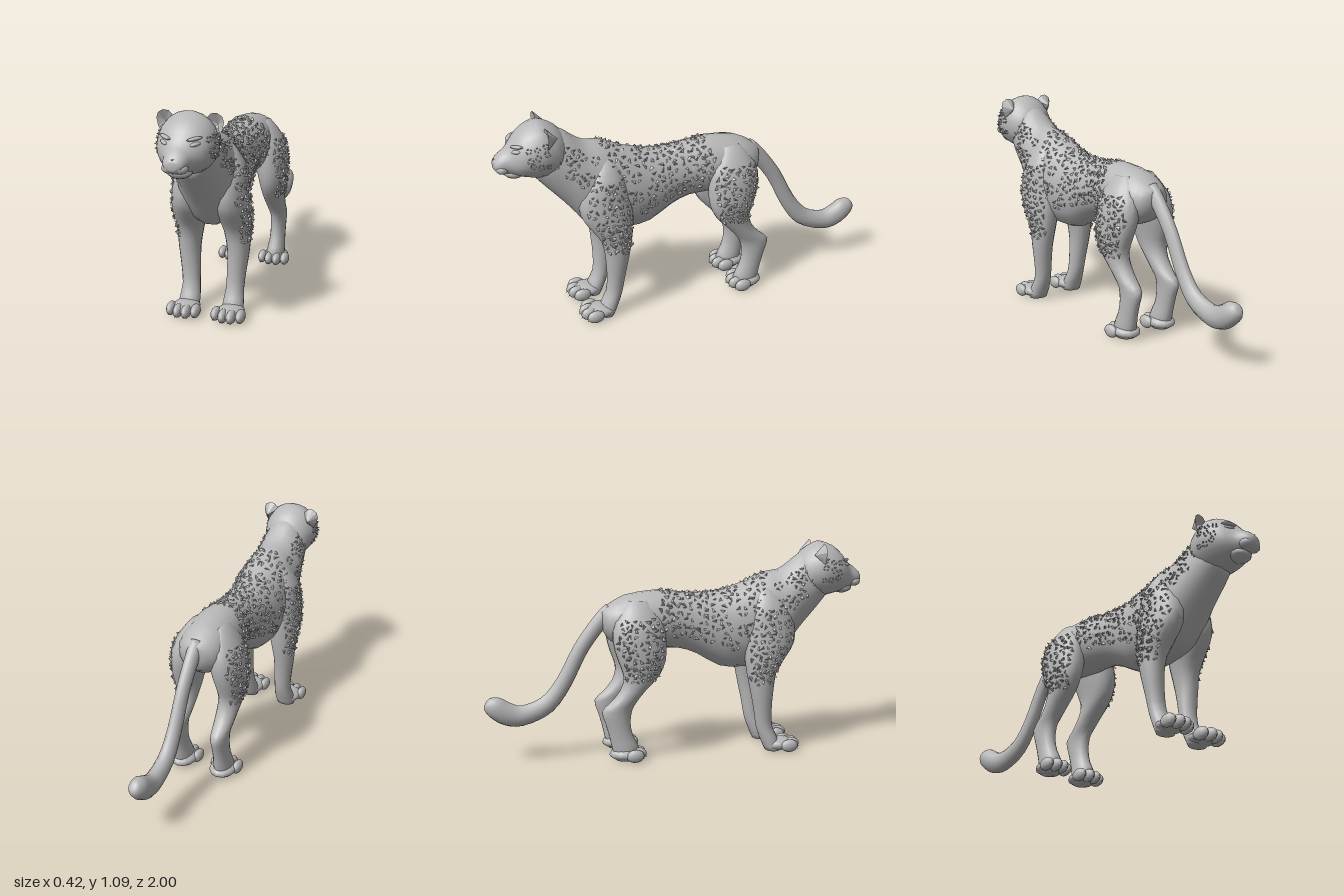
import * as THREE from 'three';

const fur = new THREE.MeshStandardMaterial({ color: 0xb8b8b8 });
fur.name = 'greyFur';

// Ring rules: each turns one cross-section row and an angle into a point
const alongZ = ([z, top, bottom, half], a) =>
  new THREE.Vector3(Math.cos(a) * half, (top + bottom) / 2 + Math.sin(a) * (top - bottom) / 2, z);
const alongY = ([y, front, back, inner, outer], a) =>
  new THREE.Vector3((inner + outer) / 2 + Math.cos(a) * (outer - inner) / 2, y,
    (front + back) / 2 + Math.sin(a) * (front - back) / 2);
const alongTail = ([z, y, r, tilt], a) =>
  new THREE.Vector3(Math.cos(a) * r * 0.82, y + Math.sin(a) * r * Math.cos(tilt), z + Math.sin(a) * r * Math.sin(tilt));

// Smoothly blended row at a fractional index
function rowAt(rows, f) {
  const i = Math.min(Math.floor(f), rows.length - 2), t = f - i;
  const at = k => rows[Math.max(0, Math.min(rows.length - 1, k))];
  return rows[i].map((b, k) => {
    const p = at(i - 1)[k], c = at(i + 1)[k], q = at(i + 2)[k];
    return b + 0.5 * t * (c - p + t * (2 * p - 5 * b + 4 * c - q + t * (3 * (b - c) + q - p)));
  });
}

// Closed skin over a row of cross-sections
function loft(rows, rule, side = 1, sides = 18, steps = 2) {
  const rings = (rows.length - 1) * steps + 1, pos = [], idx = [];
  const centres = [];
  for (let i = 0; i < rings; i++) {
    const row = rowAt(rows, i / steps), c = new THREE.Vector3();
    for (let j = 0; j < sides; j++) {
      const p = rule(row, j / sides * Math.PI * 2);
      p.x *= side;
      c.addScaledVector(p, 1 / sides);
      pos.push(p.x, p.y, p.z);
    }
    centres.push(c);
  }
  pos.push(...centres[0].toArray(), ...centres[rings - 1].toArray());
  const first = rings * sides, last = first + 1;
  for (let j = 0; j < sides; j++) {
    const k = (j + 1) % sides, e = (rings - 1) * sides;
    idx.push(first, k, j, last, e + j, e + k);
    for (let i = 0; i < rings - 1; i++) {
      const a = i * sides + j, b = i * sides + k;
      idx.push(a, b, b + sides, a, b + sides, a + sides);
    }
  }
  // Turn the faces outward, judged by the enclosed volume
  let volume = 0;
  const v = i => new THREE.Vector3().fromArray(pos, i * 3);
  for (let i = 0; i < idx.length; i += 3) volume += v(idx[i]).dot(v(idx[i + 1]).cross(v(idx[i + 2])));
  if (volume < 0) idx.reverse();
  return mesh(pos, idx);
}

function mesh(pos, idx) {
  const g = new THREE.BufferGeometry();
  g.setAttribute('position', new THREE.Float32BufferAttribute(pos, 3));
  if (idx) g.setIndex(idx);
  g.computeVertexNormals();
  return g;
}

let seed = 7;
const random = () => (seed = (seed * 16807) % 2147483647) / 2147483647;

// Rosettes: broken rings of low angular chips, mirrored on both flanks
function rosettes(rows, rule, [f0, f1, nf], [a0, a1, na], size) {
  const pos = [];
  for (let i = 0; i < nf; i++) for (let j = 0; j < na; j++) {
    const f = f0 + (f1 - f0) * (i + 0.2 + random() * 0.6) / nf;
    const a = a0 + (a1 - a0) * (j + 0.2 + random() * 0.6) / na;
    const at = (df, da) => rule(rowAt(rows, f + df), a + da);
    const c = at(0, 0), t = at(0.02, 0).sub(c).normalize();
    const n = t.clone().cross(at(0, 0.02).sub(c)).normalize();
    const mid = rule(rowAt(rows, f), a + Math.PI).add(c).multiplyScalar(0.5);
    if (n.dot(c.clone().sub(mid)) < 0) n.negate();
    const b = n.clone().cross(t);
    const put = (x, y, h) => c.clone().addScaledVector(t, x).addScaledVector(b, y).addScaledVector(n, h);
    const chips = 4, turn = random() * 6;
    for (let k = 0; k < chips; k++) {
      const w = turn + k / chips * Math.PI * 2, r = size * (0.75 + random() * 0.4);
      const p = (rad, ang, h) => put(Math.cos(ang) * rad, Math.sin(ang) * rad, h);
      const base = [p(r * 1.3, w - 0.5, -0.003), p(r * 1.2, w + 0.5, -0.003), p(r * 0.5, w + 0.2, -0.003)];
      const apex = p(r * 1.1, w + 0.3, 0.009);
      for (let m = 0; m < 3; m++) {
        const tri = [base[m], base[(m + 1) % 3], apex];
        for (const q of tri) pos.push(q.x, q.y, q.z);
        for (const q of tri.reverse()) pos.push(-q.x, q.y, q.z);
      }
    }
  }
  return mesh(pos);
}

// z, top, bottom, half width
const torso = [
  [-0.40, 0.77, 0.69, 0.03], [-0.37, 0.79, 0.62, 0.09], [-0.28, 0.84, 0.57, 0.13], [-0.12, 0.862, 0.56, 0.13],
  [0, 0.85, 0.555, 0.115], [0.1, 0.843, 0.52, 0.12], [0.22, 0.85, 0.45, 0.135], [0.34, 0.885, 0.438, 0.15],
  [0.46, 0.937, 0.45, 0.15], [0.54, 0.948, 0.49, 0.145], [0.60, 0.985, 0.565, 0.135], [0.66, 1.03, 0.64, 0.12],
  [0.74, 1.05, 0.73, 0.105], [0.80, 1.03, 0.80, 0.08]];
const head = [
  [0.64, 1.0, 0.84, 0.07], [0.68, 1.05, 0.81, 0.115], [0.74, 1.085, 0.80, 0.137], [0.78, 1.09, 0.80, 0.14],
  [0.83, 1.07, 0.81, 0.132], [0.87, 1.04, 0.82, 0.115], [0.90, 1.005, 0.83, 0.09], [0.93, 0.97, 0.84, 0.066],
  [0.96, 0.95, 0.848, 0.056], [0.985, 0.925, 0.86, 0.042], [0.995, 0.91, 0.875, 0.02]];
// y, front, back, inner x, outer x
const frontLeg = [
  [0.87, 0.49, 0.42, 0.06, 0.10], [0.78, 0.555, 0.37, 0.03, 0.165], [0.68, 0.60, 0.34, 0.02, 0.182],
  [0.58, 0.60, 0.33, 0.02, 0.192], [0.50, 0.55, 0.335, 0.035, 0.195], [0.42, 0.50, 0.345, 0.055, 0.188],
  [0.32, 0.485, 0.365, 0.07, 0.18], [0.22, 0.48, 0.385, 0.07, 0.167], [0.13, 0.487, 0.40, 0.068, 0.158],
  [0.06, 0.52, 0.425, 0.06, 0.165], [0.004, 0.53, 0.45, 0.065, 0.165]];
const hindLeg = [
  [0.82, -0.17, -0.27, 0.05, 0.10], [0.72, -0.10, -0.345, 0.02, 0.172], [0.62, -0.085, -0.36, 0.025, 0.195],
  [0.52, -0.09, -0.335, 0.045, 0.197], [0.44, -0.125, -0.308, 0.06, 0.185], [0.37, -0.19, -0.325, 0.066, 0.175],
  [0.31, -0.24, -0.375, 0.072, 0.168], [0.265, -0.265, -0.422, 0.078, 0.162], [0.20, -0.275, -0.405, 0.08, 0.16],
  [0.13, -0.262, -0.385, 0.078, 0.16], [0.06, -0.23, -0.37, 0.068, 0.165], [0.004, -0.25, -0.35, 0.07, 0.162]];
// z, y, radius, tilt
const tail = [
  [-0.34, 0.77, 0.045, -0.9], [-0.40, 0.715, 0.043, -1.1], [-0.505, 0.575, 0.04, -1.08], [-0.597, 0.40, 0.042, -1.0],
  [-0.687, 0.287, 0.048, -0.65], [-0.81, 0.237, 0.054, -0.05], [-0.89, 0.25, 0.06, 0.3], [-0.95, 0.288, 0.056, 0.55],
  [-0.985, 0.312, 0.035, 0.65], [-0.993, 0.318, 0.012, 0.65]];

export function createModel() {
  const cat = new THREE.Group();
  cat.name = 'bigCat';
  const add = (name, geometry, parent = cat) => {
    const m = new THREE.Mesh(geometry, fur);
    m.name = name;
    parent.add(m);
    return m;
  };
  const ball = (name, x, y, z, sx, sy, sz, parent) => {
    const m = add(name, new THREE.SphereGeometry(1, 12, 8), parent);
    m.position.set(x, y, z);
    m.scale.set(sx, sy, sz);
    return m;
  };

  add('torso', loft(torso, alongZ, 1, 22));
  add('head', loft(head, alongZ, 1, 22));
  add('tail', loft(tail, alongTail, 1, 12, 3));
  ball('lowerJaw', 0, 0.845, 0.895, 0.06, 0.033, 0.055);

  // Wedge-shaped nose
  const nose = add('nose', new THREE.CylinderGeometry(0.026, 0.008, 0.026, 3));
  nose.position.set(0, 0.91, 0.978);
  nose.scale.z = 0.6;

  for (const s of [1, -1]) {
    const side = s > 0 ? 'left' : 'right';
    add(side + 'FrontLeg', loft(frontLeg, alongY, s));
    add(side + 'HindLeg', loft(hindLeg, alongY, s));

    // Paws with four toes and claws
    for (const [name, z] of [['FrontPaw', 0], ['HindPaw', -0.825]]) {
      const paw = new THREE.Group();
      paw.name = side + name;
      paw.position.set(s * 0.115, 0, z);
      cat.add(paw);
      ball('pad', 0, 0.035, 0.525, 0.07, 0.035, 0.085, paw);
      for (let i = 0; i < 4; i++) {
        const x = (i - 1.5) * 0.042, outer = Math.abs(i - 1.5) > 1 ? 1 : 0;
        ball('toe', x, 0.034, 0.585 - outer * 0.02, 0.023, 0.034, 0.046, paw);
        const claw = add('claw', new THREE.ConeGeometry(0.008, 0.032, 5), paw);
        claw.position.set(x, 0.025, 0.622 - outer * 0.02);
        claw.rotation.x = 2.4;
      }
    }

    // Face: slanted eye, brow ridge, whisker pad
    const eye = ball(side + 'Eye', s * 0.073, 0.972, 0.894, 0.027, 0.01, 0.012);
    eye.rotation.set(-0.2, s * 0.7, s * 0.3);
    const brow = ball(side + 'Brow', s * 0.068, 0.995, 0.888, 0.038, 0.009, 0.016);
    brow.rotation.set(-0.3, s * 0.65, s * 0.3);
    ball(side + 'WhiskerPad', s * 0.028, 0.876, 0.955, 0.034, 0.026, 0.034);

    // Cupped ear: an outline joined to a hollow front and a bulging back
    const rim = [[0.075, 1.055], [0.10, 1.082], [0.128, 1.085], [0.152, 1.07], [0.16, 1.045], [0.153, 1.01], [0.138, 0.98], [0.105, 0.99]];
    const pos = [];
    rim.forEach(([x, y], i) => {
      const [x2, y2] = rim[(i + 1) % rim.length];
      const a = [s * x, y, 0.755], b = [s * x2, y2, 0.755];
      const front = [s * 0.124, 1.03, 0.73], back = [s * 0.118, 1.03, 0.70];
      const [p, q] = s > 0 ? [a, b] : [b, a];
      pos.push(...q, ...p, ...front, ...p, ...q, ...back);
    });
    add(side + 'Ear', mesh(pos));
  }

  // Coat pattern
  add('flankRosettes', rosettes(torso, alongZ, [3, 8, 9], [-0.5, 1.45, 5], 0.026));
  add('neckRosettes', rosettes(torso, alongZ, [8.5, 12, 5], [-0.1, 0.9, 3], 0.02));
  add('shoulderRosettes', rosettes(frontLeg, alongY, [1, 5.5, 7], [-0.9, 0.8, 4], 0.024));
  add('haunchRosettes', rosettes(hindLeg, alongY, [0.9, 4.3, 7], [-1.0, 0.9, 4], 0.024));
  add('cheekRosettes', rosettes(head, alongZ, [2, 4.6, 3], [-0.4, 0.5, 3], 0.013));
  return cat;
}
